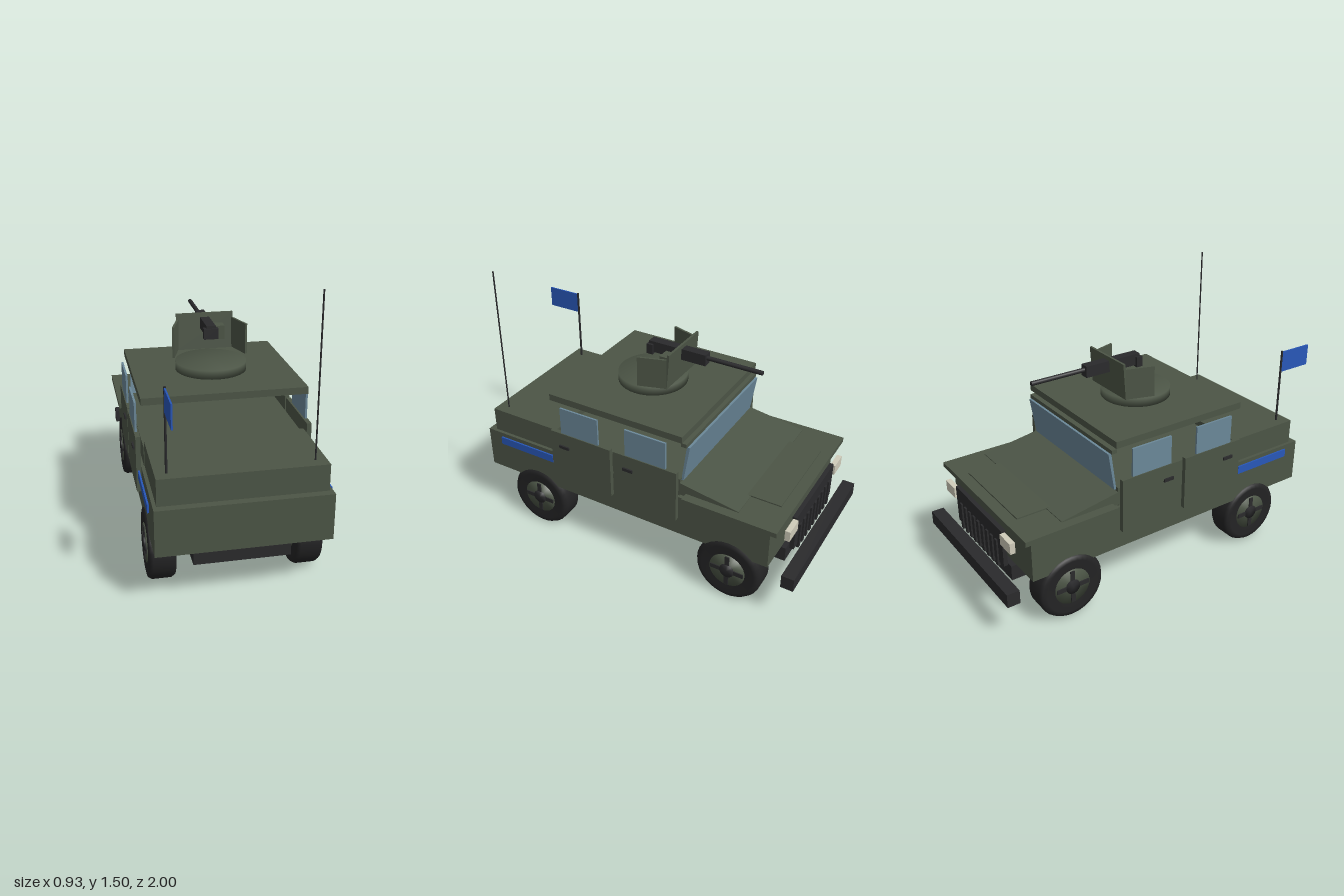
import * as THREE from 'three';
import { mergeVertices } from 'three/addons/utils/BufferGeometryUtils.js';

const material = (name, color) => {
  const m = new THREE.MeshStandardMaterial({ color });
  m.name = name;
  return m;
};

export function createModel() {
  const root = new THREE.Group();
  root.name = 'armouredTruck';
  const green = material('olive green', 0x4c5546);
  const dark = material('dark metal', 0x2a2a2c);
  const rubber = material('rubber', 0x232324);
  const blue = material('blue', 0x2857b8);
  const glass = material('glass', 0x6b8899);
  const lamp = material('lamp', 0xcfccba);

  const add = (name, geo, mat, parent = root) => {
    const mesh = new THREE.Mesh(geo, mat);
    mesh.name = name;
    parent.add(mesh);
    return mesh;
  };
  // Box given by its extents along each axis
  const box = (name, mat, [x0, x1], [y0, y1], [z0, z1], parent = root) => {
    const mesh = add(name, new THREE.BoxGeometry(x1 - x0, y1 - y0, z1 - z0), mat, parent);
    mesh.position.set((x0 + x1) / 2, (y0 + y1) / 2, (z0 + z1) / 2);
    return mesh;
  };
  // Side outline as [z, y] points, extruded across x
  const sideProfile = (name, mat, points, halfWidth) => {
    const shape = new THREE.Shape(points.map(([z, y]) => new THREE.Vector2(-z, y)));
    const geo = new THREE.ExtrudeGeometry(shape, { depth: halfWidth * 2, bevelEnabled: false });
    geo.translate(0, 0, -halfWidth).rotateY(Math.PI / 2);
    return add(name, geo, mat);
  };
  // Shares corner normals so that the rims shade softly
  const soften = (geo) => {
    geo.deleteAttribute('normal');
    geo.deleteAttribute('uv');
    const merged = mergeVertices(geo, 1e-4);
    merged.computeVertexNormals();
    return merged;
  };

  // Hull, cargo cover and bonnet (the vehicle drives towards -z)
  box('hull', green, [-0.43, 0.43], [0.303, 0.543], [-0.85, 0.9]);
  box('cargoCover', green, [-0.412, 0.412], [0.54, 0.68], [0.43, 0.86]);
  box('cabDeck', green, [-0.415, 0.415], [0.54, 0.645], [-0.34, 0.43]);
  box('bonnet', green, [-0.465, 0.465], [0.541, 0.568], [-0.895, -0.375]);
  sideProfile('bonnetSlope', green, [[-0.34, 0.55], [-0.34, 0.622], [-0.67, 0.572], [-0.67, 0.55]], 0.415);
  box('bonnetPanel', green, [-0.27, 0.27], [0.56, 0.575], [-0.835, -0.4]);

  // Roof and windscreen
  box('roof', green, [-0.425, 0.425], [0.875, 0.912], [-0.355, 0.445]);
  box('windscreenFrame', green, [-0.405, 0.405], [0.84, 0.862], [-0.37, -0.338]);
  sideProfile('windscreen', glass, [[-0.338, 0.63], [-0.366, 0.84], [-0.383, 0.84], [-0.35, 0.63]], 0.395);

  // Chassis, axles and bumper
  box('chassis', dark, [-0.24, 0.24], [0.203, 0.287], [-0.87, 0.84]);
  box('bumper', dark, [-0.445, 0.445], [0.225, 0.3], [-1, -0.932]);

  // Grille and headlights
  box('grille', dark, [-0.26, 0.26], [0.32, 0.525], [-0.918, -0.895]);
  for (let i = 0; i < 9; i++) {
    const x = -0.2 + i * 0.05;
    box('grilleBar', dark, [x - 0.011, x + 0.011], [0.298, 0.45], [-0.927, -0.912]);
  }

  // Paired side parts
  for (const s of [-1, 1]) {
    const side = (a, b) => (s > 0 ? [a, b] : [-b, -a]);
    box('headlight', lamp, side(0.26, 0.365), [0.455, 0.515], [-0.928, -0.9]);
    box('sideStripe', blue, side(0.439, 0.448), [0.482, 0.527], [0.44, 0.8]);
    const doors = [
      { door: [0.055, 0.432], window: [0.13, 0.365], handle: [0.315, 0.375] },
      { door: [-0.34, 0.035], window: [-0.275, -0.035], handle: [-0.085, -0.025] },
    ];
    for (const d of doors) {
      box('door', green, side(0.43, 0.455), [0.405, 0.705], d.door);
      box('sideWindow', glass, side(0.439, 0.45), [0.7, 0.862], d.window);
      box('doorHandle', dark, side(0.45, 0.464), [0.614, 0.631], d.handle);
    }
  }

  // Wheels and axles
  const tyreGeo = new THREE.LatheGeometry(
    [[0.09, -0.064], [0.15, -0.07], [0.172, -0.066], [0.183, -0.048],
      [0.183, 0.048], [0.172, 0.066], [0.15, 0.07], [0.09, 0.064]]
      .map(([r, y]) => new THREE.Vector2(r, y)), 32);
  const rimGeo = soften(new THREE.CylinderGeometry(0.1, 0.1, 0.136, 28));
  const capGeo = soften(new THREE.CylinderGeometry(0.04, 0.04, 0.15, 20));
  for (const z of [0.565, -0.635]) {
    box('axle', dark, [-0.31, 0.31], [0.163, 0.218], [z - 0.027, z + 0.027]);
    for (const s of [-1, 1]) {
      const wheel = new THREE.Group();
      wheel.name = 'wheel';
      add('tyre', tyreGeo, rubber, wheel);
      add('rim', rimGeo, green, wheel);
      add('hubCap', capGeo, dark, wheel);
      for (let i = 0; i < 4; i++) {
        const lug = add('spoke', new THREE.BoxGeometry(0.065, 0.014, 0.024), dark, wheel);
        const a = (i * Math.PI) / 2;
        lug.position.set(Math.cos(a) * 0.06, 0.067, Math.sin(a) * 0.06);
        lug.rotation.y = -a;
      }
      wheel.rotation.z = -s * Math.PI / 2;
      wheel.position.set(s * 0.37, 0.187, z);
      root.add(wheel);
    }
  }

  // Turret ring and gun shields
  const ring = add('turretRing', soften(new THREE.CylinderGeometry(0.19, 0.19, 0.048, 40)), green);
  ring.position.set(0, 0.935, 0.06);
  sideProfile('frontShield', green, [[-0.1, 0.97], [-0.115, 1.17], [-0.128, 1.17], [-0.113, 0.97]], 0.157);
  for (const s of [-1, 1]) {
    const wing = add('sideShield', new THREE.BoxGeometry(0.012, 0.167, 0.155), green);
    wing.position.set(s * 0.175, 1.056, -0.036);
    wing.rotation.y = s * 0.3;
  }

  // Roof gun
  const gun = new THREE.Group();
  gun.name = 'roofGun';
  root.add(gun);
  box('gunBody', dark, [-0.025, 0.025], [1.085, 1.147], [-0.265, 0.07], gun);
  box('gunGrip', dark, [-0.039, 0.039], [1.076, 1.132], [0.042, 0.078], gun);
  box('ammoBox', green, [0.028, 0.096], [1.04, 1.115], [-0.1, -0.035], gun);
  const barrel = add('gunBarrel', new THREE.CylinderGeometry(0.012, 0.012, 0.32, 14), dark, gun);
  barrel.rotation.x = Math.PI / 2;
  barrel.position.set(0, 1.122, -0.415);

  // Tall aerial and flag pole
  for (const [name, x, top, r] of [['aerial', 0.355, 1.5, 0.004], ['flagPole', -0.355, 1.1, 0.006]]) {
    const pole = add(name, new THREE.CylinderGeometry(r, r, top - 0.67, 10), dark);
    pole.position.set(x, (top + 0.67) / 2, 0.8);
  }
  box('flag', blue, [-0.359, -0.351], [0.977, 1.095], [0.8, 1]);

  return root;
}
